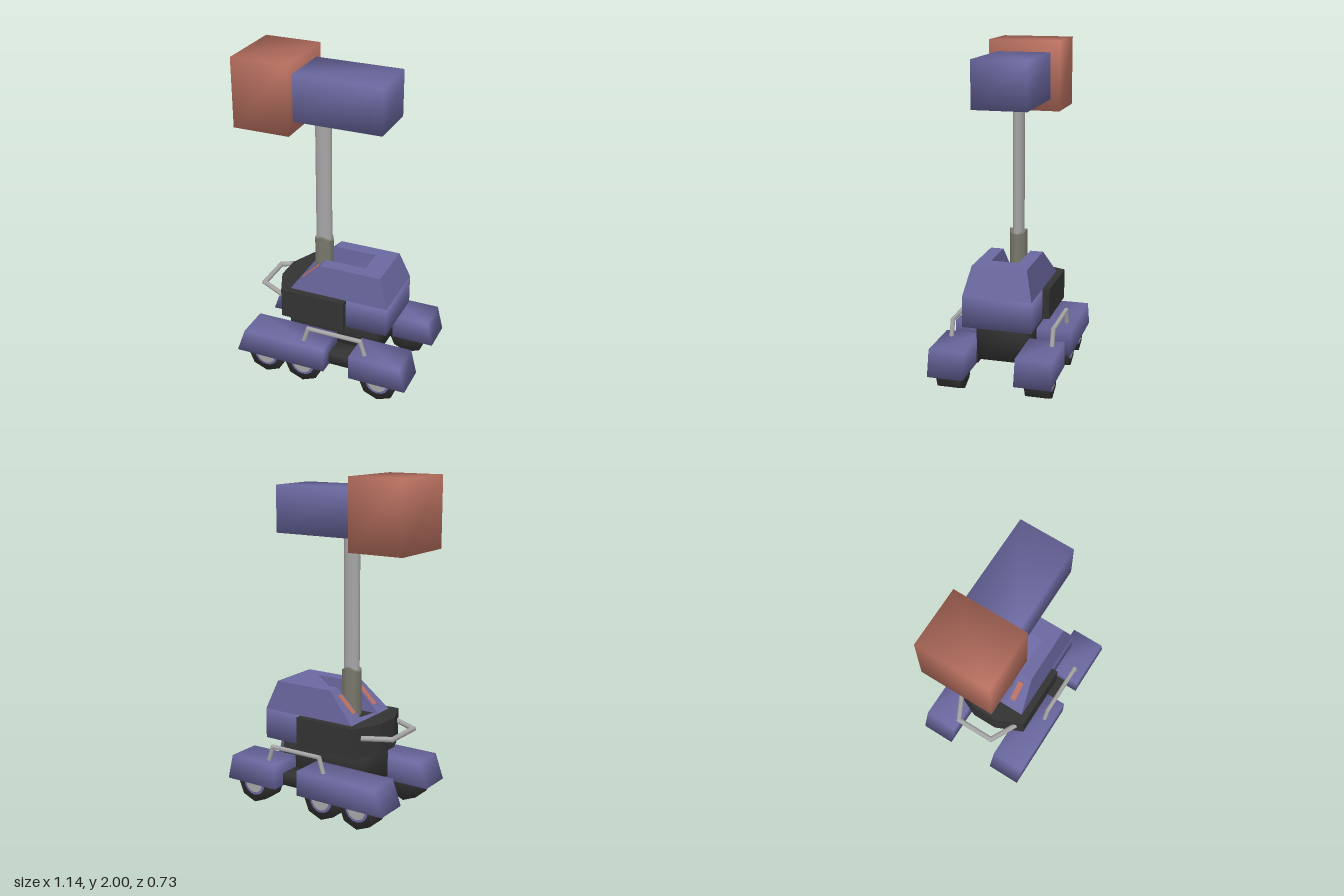
import * as THREE from 'three';
import { mergeVertices } from 'three/addons/utils/BufferGeometryUtils.js';

const mat = (name, color) => {
  const m = new THREE.MeshStandardMaterial({ color });
  m.name = name;
  return m;
};

// Share corners so the normals blend over the edges
function soften(g) {
  g.deleteAttribute('uv');
  g.deleteAttribute('normal');
  const merged = mergeVertices(g.clone(), 1e-4);
  merged.clearGroups();
  merged.computeVertexNormals();
  return merged;
}

function bend(g, rule) {
  const p = g.attributes.position, v = new THREE.Vector3();
  for (let i = 0; i < p.count; i++) {
    v.fromBufferAttribute(p, i);
    rule(v);
    p.setXYZ(i, v.x, v.y, v.z);
  }
  return g;
}

// Box given by its limits
function box(x0, x1, y0, y1, z0, z1) {
  return new THREE.BoxGeometry(x1 - x0, y1 - y0, z1 - z0)
    .translate((x0 + x1) / 2, (y0 + y1) / 2, (z0 + z1) / 2);
}

// Side profile in x and y, extruded from z0 to z1
function slab(points, z0, z1) {
  const s = new THREE.Shape(points.map(([x, y]) => new THREE.Vector2(x, y)));
  return new THREE.ExtrudeGeometry(s, { depth: z1 - z0, bevelEnabled: false }).translate(0, 0, z0);
}

export function createModel() {
  const model = new THREE.Group();
  model.name = 'rover';
  const blue = mat('blue paint', 0x6b68a0);
  const red = mat('red paint', 0xb87060);
  const black = mat('black', 0x333333);
  const grey = mat('grey metal', 0xa6a6a6);
  const olive = mat('olive metal', 0x78786c);

  const add = (name, geo, material, smooth = true) => {
    const mesh = new THREE.Mesh(smooth ? soften(geo) : geo, material);
    mesh.name = name;
    model.add(mesh);
    return mesh;
  };

  // Round bar following a list of points
  const bar = (name, points, r) => {
    const pts = points.map(p => new THREE.Vector3(...p));
    const path = new THREE.CurvePath();
    for (let i = 1; i < pts.length; i++) path.add(new THREE.LineCurve3(pts[i - 1], pts[i]));
    for (const c of path.curves) {
      const d = c.v2.clone().sub(c.v1);
      const g = new THREE.CylinderGeometry(r, r, d.length() + r, 8);
      g.applyQuaternion(new THREE.Quaternion().setFromUnitVectors(new THREE.Vector3(0, 1, 0), d.clone().normalize()));
      g.translate(...c.v1.clone().add(c.v2).multiplyScalar(0.5).toArray());
      add(name, g, grey, false);
    }
  };

  // Head on the mast
  add('headBack', box(-0.57, -0.22, 1.58, 2, -0.22, 0.22), red);
  add('headFront', box(-0.22, 0.32, 1.65, 1.93, -0.163, 0.163), blue);

  // Mast and its socket, whose rim falls away to both ends
  add('mast', new THREE.CylinderGeometry(0.052, 0.052, 1.12, 12).scale(1, 1, 0.67).translate(-0.105, 1.1, 0), grey, false);
  const socket = new THREE.CylinderGeometry(0.0625, 0.0625, 0.33, 8).scale(1, 1, 0.88);
  bend(socket, v => { if (v.y > 0) v.y -= Math.abs(v.x) * 0.48; });
  add('mastSocket', socket.translate(-0.105, 0.705, 0), olive, false);

  // Hull: lower block, two tapered shoulders and a sloping channel between them
  add('hullBase', box(-0.24, 0.385, 0.385, 0.57, -0.208, 0.208), blue);
  const shoulder = [[-0.24, 0.57], [0.385, 0.57], [0.325, 0.745], [-0.06, 0.745]];
  for (const s of [1, -1]) {
    const g = s > 0 ? slab(shoulder, 0.085, 0.208) : slab(shoulder, -0.208, -0.085);
    bend(g, v => { if (Math.abs(v.z) > 0.1 && v.y > 0.7) v.z = s * 0.165; });
    add('hullShoulder', g, blue, false);
    // Painted marks on the rear slope
    const mark = new THREE.BoxGeometry(0.14, 0.008, 0.035);
    mark.rotateZ(Math.atan2(0.175, 0.18)).translate(-0.147, 0.662, s * 0.115);
    add('slopeMark', mark, red, false);
  }
  add('hullChannel', slab([[-0.04, 0.57], [0.385, 0.57], [0.325, 0.745], [0.2, 0.745]], -0.085, 0.085), blue, false);

  // Dark block around the rear of the hull, with tapered end
  const plan = [[0.125, -0.25], [0.125, 0.25], [-0.285, 0.25], [-0.36, 0.08], [-0.36, -0.08], [-0.285, -0.25]];
  add('sideBlock', slab(plan, 0, 0.185).rotateX(-Math.PI / 2).translate(0, 0.385, 0), black, false);
  bar('rearHandle', [[-0.31, 0.507, 0.2], [-0.465, 0.507, 0.12], [-0.465, 0.507, -0.12], [-0.31, 0.507, -0.2]], 0.016);

  // Chassis
  add('chassis', box(-0.275, 0.3, 0.16, 0.386, -0.147, 0.147), black);

  const rearFender = [[-0.545, 0.13], [0.043, 0.13], [0.043, 0.285], [-0.49, 0.285]];
  const frontFender = [[0.207, 0.13], [0.567, 0.13], [0.53, 0.285], [0.207, 0.285]];
  for (const s of [1, -1]) {
    const z = (a, b) => (s > 0 ? [a, b] : [-b, -a]);
    add('sideBeam', box(-0.1, 0.3, 0.135, 0.21, ...z(0.14, 0.28)), black);
    add('rearFender', slab(rearFender, ...z(0.153, 0.365)), blue);
    add('frontFender', slab(frontFender, ...z(0.15, 0.365)), blue);
    bar('sideHandle', [[-0.11, 0.28, s * 0.308], [-0.08, 0.376, s * 0.308],
      [0.26, 0.376, s * 0.308], [0.29, 0.28, s * 0.308]], 0.014);

    // Wheels with a painted ring and a grey hub
    for (const x of [-0.36, -0.11, 0.385]) {
      const disc = (name, r, depth, zc, sides, m, smooth) => {
        const g = new THREE.CylinderGeometry(r, r, depth, sides).rotateX(Math.PI / 2);
        add(name, g.translate(x, 0.126, s * zc), m, smooth);
      };
      disc('wheel', 0.123, 0.14, 0.265, 8, black, true);
      disc('wheelRing', 0.076, 0.008, 0.335, 16, blue, false);
      disc('wheelHub', 0.06, 0.008, 0.338, 16, grey, false);
    }
  }
  return model;
}
